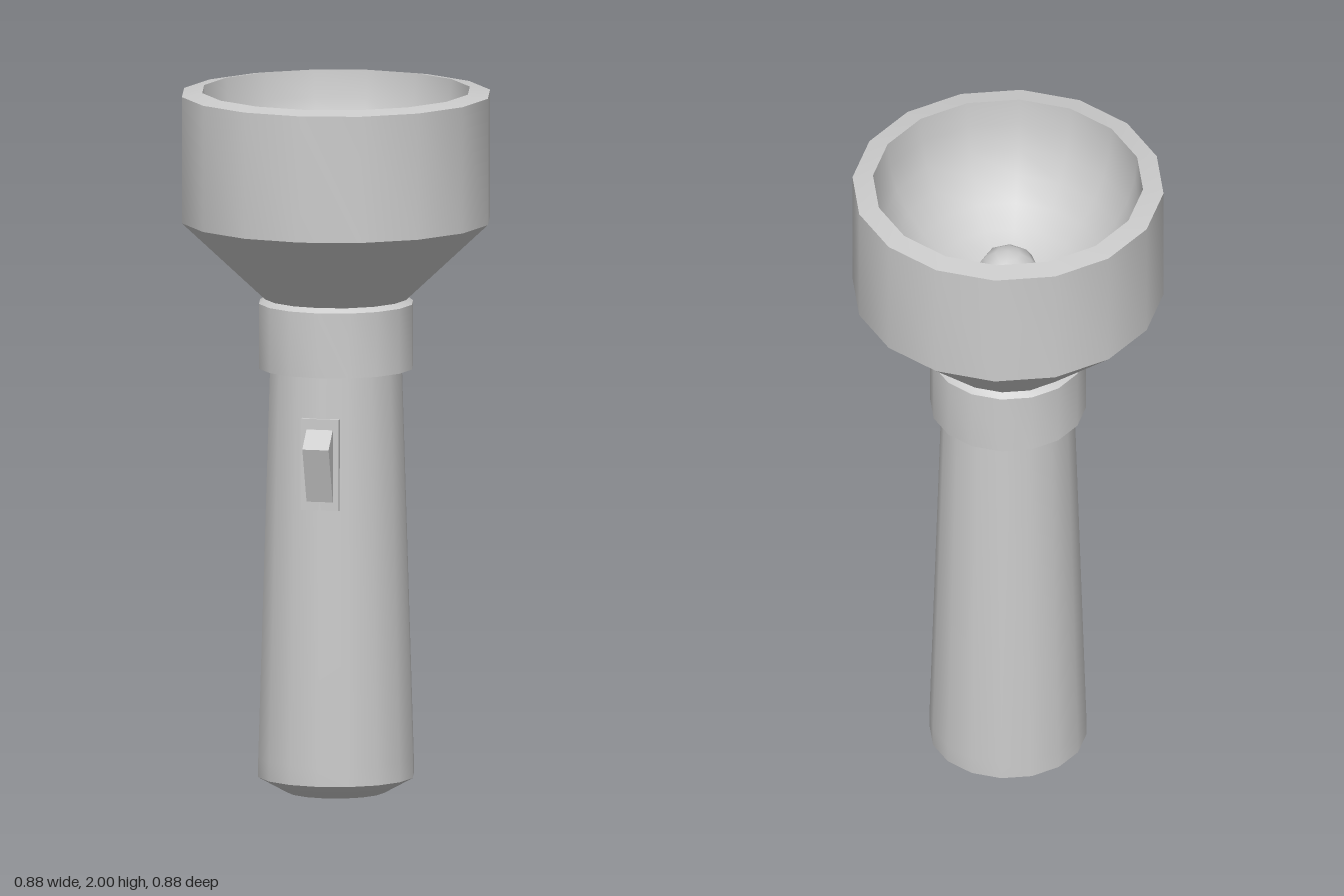
import * as THREE from 'three';
import { toCreasedNormals } from 'three/addons/utils/BufferGeometryUtils.js';

const SIDES = 16;

export function createModel() {
  const model = new THREE.Group();
  model.name = 'flashlight';
  const material = new THREE.MeshStandardMaterial({ color: 0xcccccc });

  const add = (name, geometry) => {
    const mesh = new THREE.Mesh(geometry, material);
    mesh.name = name;
    model.add(mesh);
    return mesh;
  };
  // Turned part: smooth around the axis, sharp at strong profile corners
  const turned = (name, profile, sides = SIDES) => add(name, toCreasedNormals(
    new THREE.LatheGeometry(profile.map(([r, y]) => new THREE.Vector2(r, y)), sides), 0.6));

  // Tapered handle with bevelled foot
  turned('handle', [[0, 0], [0.14, 0], [0.222, 0.045], [0.222, 0.1], [0.188, 1.22]]);

  // Collar between handle and head
  turned('collar', [[0.18, 1.21], [0.22, 1.21], [0.22, 1.395], [0.2, 1.41], [0, 1.41]]);

  // Flared head with a sloping rim
  turned('head', [[0.2, 1.405], [0.44, 1.63], [0.44, 1.99], [0.382, 2]]);

  // Reflector bowl, from rim down to the centre
  const bowl = [];
  for (let i = 0; i <= 8; i++) {
    const a = (i / 8) * Math.PI / 2;
    bowl.push([i === 8 ? 0 : 0.382 * Math.cos(a), 2 - 0.4 * Math.sin(a)]);
  }
  turned('reflector', bowl);

  // Bulb
  add('bulb', new THREE.SphereGeometry(0.095, 8, 8)).position.y = 1.66;

  // Switch plate, partly sunk into the handle
  add('switchPlate', new THREE.BoxGeometry(0.11, 0.26, 0.06)).position.set(0, 0.96, 0.169);

  // Wedge-shaped switch: profile in (z, y), extruded across x
  const wedge = new THREE.Shape([[0.17, 0.84], [0.196, 0.845], [0.25, 1.01], [0.2, 1.06], [0.17, 1.06]]
    .map(([z, y]) => new THREE.Vector2(-z, y)).reverse());
  const rocker = new THREE.ExtrudeGeometry(wedge, { depth: 0.076, bevelEnabled: false });
  rocker.translate(0, 0, -0.038).rotateY(Math.PI / 2);
  add('switchRocker', rocker);

  return model;
}
